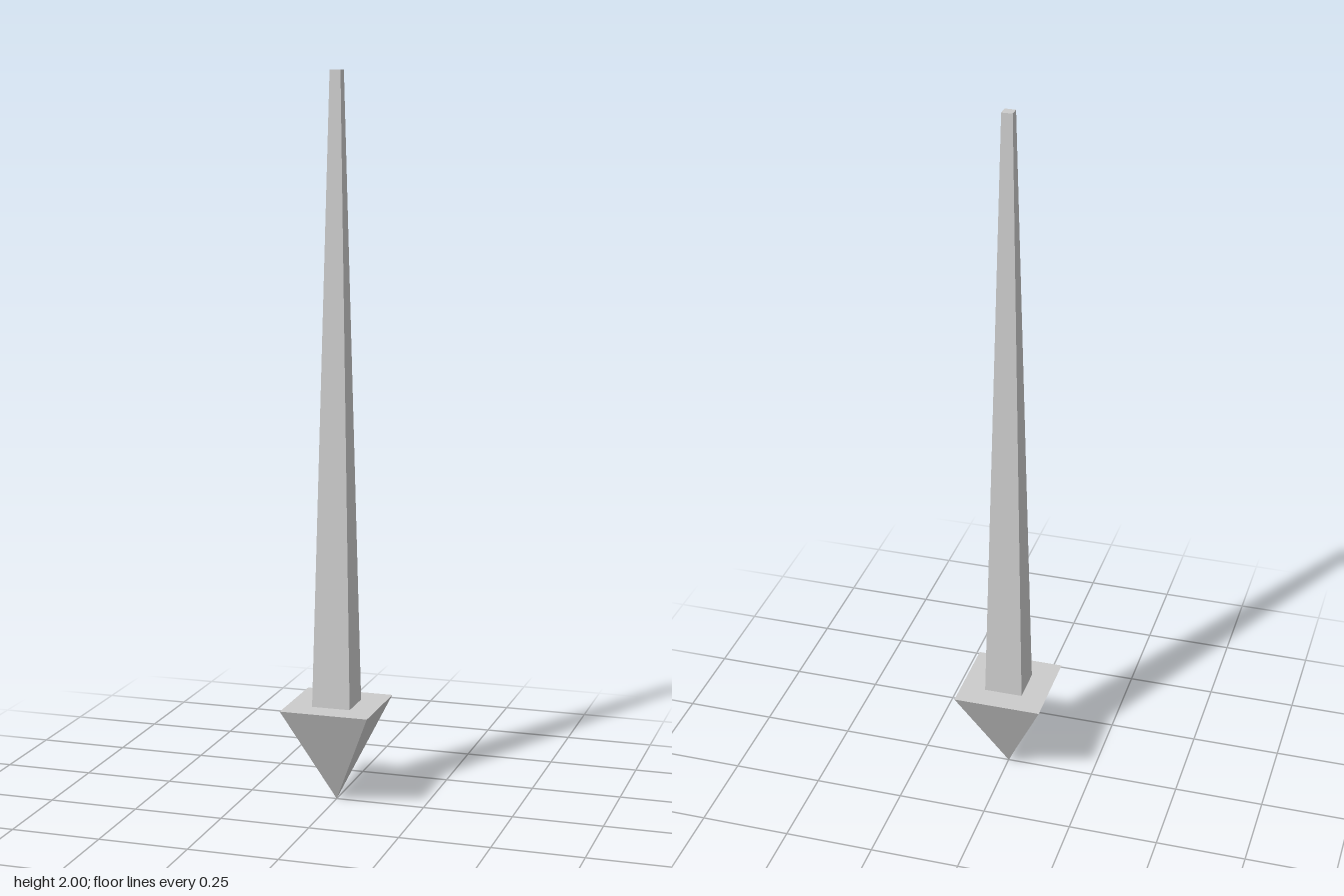
import * as THREE from 'three';

const material = new THREE.MeshStandardMaterial({ color: 0xcccccc, flatShading: true });

// Square frustum standing between two heights, sized by its half widths
function squareTaper(name, halfTop, halfBottom, y0, y1) {
  const geometry = new THREE.CylinderGeometry(
    halfTop * Math.SQRT2, halfBottom * Math.SQRT2, y1 - y0, 4);
  geometry.rotateY(Math.PI / 4);
  geometry.translate(0, (y0 + y1) / 2, 0);
  const mesh = new THREE.Mesh(geometry, material);
  mesh.name = name;
  return mesh;
}

export function createModel() {
  const headTop = 0.275;
  const group = new THREE.Group();
  group.name = 'downArrow';

  // Inverted pyramid point
  group.add(squareTaper('arrowHead', 0.124, 0, 0, headTop));
  // Long shaft narrowing towards the top
  group.add(squareTaper('shaft', 0.015, 0.054, headTop, 2));

  return group;
}
